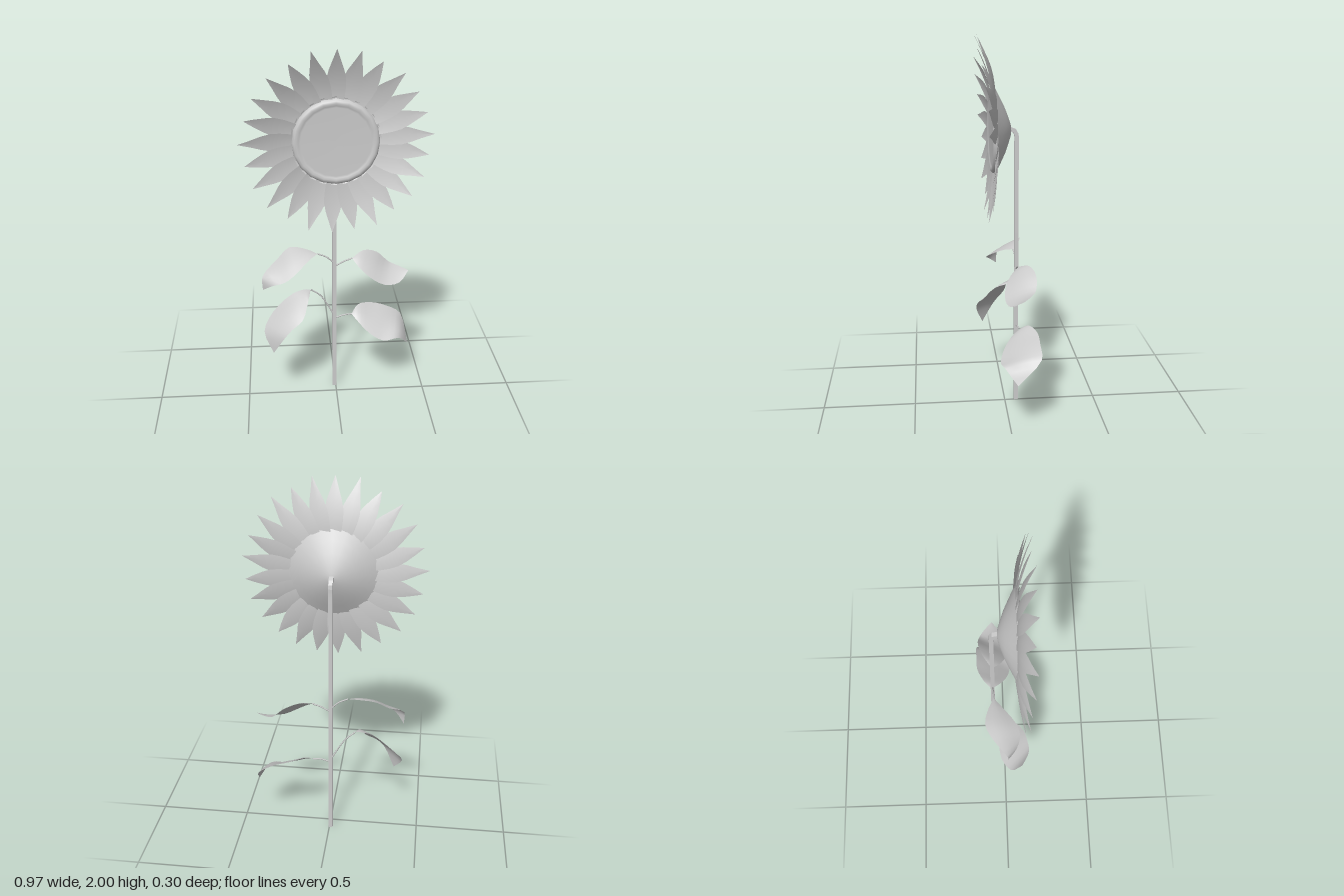
import * as THREE from 'three';

const thin = new THREE.MeshStandardMaterial({ color: 0xcccccc, side: THREE.DoubleSide });
const solid = new THREE.MeshStandardMaterial({ color: 0xcccccc });
const CX = -0.008, HEAD_Y = 1.523, STEM_Z = -0.062;
const v = (p) => new THREE.Vector3(...p);

function add(parent, name, geometry, material) {
  const mesh = new THREE.Mesh(geometry, material);
  mesh.name = name;
  parent.add(mesh);
  return mesh;
}

// Skin joining equal-length rows of points
function loft(rows) {
  const n = rows[0].length, index = [];
  for (let i = 0; i < rows.length - 1; i++) {
    for (let j = 0; j < n - 1; j++) {
      const a = i * n + j, b = a + 1, c = a + n, d = c + 1;
      index.push(a, c, b, b, c, d);
    }
  }
  const g = new THREE.BufferGeometry().setFromPoints(rows.flat());
  g.setIndex(index);
  g.computeVertexNormals();
  return g;
}

const tube = (points, radius, steps, sides) =>
  new THREE.TubeGeometry(new THREE.CatmullRomCurve3(points.map(v)), steps, radius, sides);

// Each leaf: where its stalk leaves the stem, a stalk bend, then base, tip and both blade edges
const LEAVES = [
  { name: 'upperRightLeaf', y: 0.79, bend: [-0.05, 0.83, -0.06], base: [-0.1, 0.853, -0.056], tip: [-0.4, 0.68, 0.013],
    back: [[-0.155, 0.868, -0.085], [-0.25, 0.873, -0.108], [-0.32, 0.82, -0.07], [-0.4, 0.757, 0.005]],
    front: [[-0.15, 0.835, -0.01], [-0.22, 0.79, 0.055], [-0.28, 0.755, 0.08], [-0.35, 0.725, 0.06]] },
  { name: 'lowerRightLeaf', y: 0.465, bend: [-0.085, 0.595, -0.058], base: [-0.14, 0.642, -0.045], tip: [-0.352, 0.333, 0.1],
    back: [[-0.175, 0.643, -0.045], [-0.24, 0.622, -0.038], [-0.35, 0.52, -0.025], [-0.4, 0.43, 0.03]],
    front: [[-0.158, 0.61, 0.04], [-0.19, 0.534, 0.105], [-0.25, 0.49, 0.13], [-0.294, 0.44, 0.138]] },
  { name: 'upperLeftLeaf', y: 0.77, bend: [0.045, 0.8, -0.063], base: [0.09, 0.816, -0.065], tip: [0.402, 0.735, -0.058],
    back: [[0.155, 0.84, -0.112], [0.235, 0.815, -0.138], [0.3, 0.757, -0.13], [0.345, 0.745, -0.105]],
    front: [[0.125, 0.78, -0.02], [0.18, 0.735, 0.012], [0.26, 0.69, 0.02], [0.345, 0.69, 0.0]] },
  { name: 'lowerLeftLeaf', y: 0.445, bend: [0.045, 0.463, -0.063], base: [0.09, 0.464, -0.07], tip: [0.407, 0.285, -0.03],
    back: [[0.13, 0.498, -0.115], [0.21, 0.488, -0.152], [0.3, 0.46, -0.155], [0.38, 0.41, -0.152]],
    front: [[0.125, 0.435, -0.025], [0.18, 0.39, 0.02], [0.26, 0.35, 0.045], [0.345, 0.355, 0.03]] },
];

function makeLeaf(spec) {
  const leaf = new THREE.Group();
  leaf.name = spec.name;
  add(leaf, 'leafStalk', tube([[CX, spec.y, STEM_Z], spec.bend, spec.base], 0.004, 10, 6), solid);
  const edge = (pts) => new THREE.CatmullRomCurve3([spec.base, ...pts, spec.tip].map(v));
  const back = edge(spec.back), front = edge(spec.front), rows = [];
  for (let i = 0; i <= 15; i++) {
    const a = back.getPoint(i / 15), b = front.getPoint(i / 15), row = [];
    for (let j = 0; j <= 4; j++) {
      const p = a.clone().lerp(b, j / 4);
      p.y += 0.01 * Math.sin(Math.PI * j / 4) * Math.sin(Math.PI * i / 15);
      row.push(p);
    }
    rows.push(row);
  }
  add(leaf, 'leafBlade', loft(rows), thin);
  return leaf;
}

// Pointed petal growing along +y, slightly twisted so neighbours overlap
function makePetal(tipR, tipZ, twist) {
  const radii = [0.19, 0.235, 0.28, 0.325, 0.37, 0.42, tipR];
  const halfWidths = [0.034, 0.042, 0.047, 0.047, 0.037, 0.02, 0.0005];
  return loft(radii.map((r, i) => {
    const t = (r - 0.19) / (tipR - 0.19), z = 0.055 + (tipZ - 0.055) * Math.pow(t, 1.6);
    const w = halfWidths[i];
    return [-1, 0, 1].map((s) => new THREE.Vector3(s * w, r, z + s * w * twist - (s === 0 ? w * 0.1 : 0)));
  }));
}

export function createModel() {
  const model = new THREE.Group();
  model.name = 'sunflower';

  // Square stem, bending forward into the head
  const path = new THREE.CurvePath();
  const neck = v([CX, 1.46, STEM_Z]);
  path.add(new THREE.LineCurve3(v([CX, 0, STEM_Z]), neck));
  path.add(new THREE.QuadraticBezierCurve3(neck, v([CX, 1.54, STEM_Z - 0.008]), v([CX, HEAD_Y, -0.015])));
  const h = 0.011;
  const section = new THREE.Shape([[-h, -h], [h, -h], [h, h], [-h, h]].map((p) => new THREE.Vector2(...p)));
  add(model, 'stem', new THREE.ExtrudeGeometry(section, { steps: 80, extrudePath: path }), thin);

  for (const spec of LEAVES) model.add(makeLeaf(spec));

  const head = new THREE.Group();
  head.name = 'flowerHead';
  head.position.set(CX, HEAD_Y, 0);
  model.add(head);

  // Domed back, rounded rim and flat seed face: (radius, depth)
  const lathe = (name, pts) => {
    const g = new THREE.LatheGeometry(pts.map((p) => new THREE.Vector2(...p)), 20);
    g.rotateX(Math.PI / 2);
    return add(head, name, g, thin);
  };
  lathe('headBack', [[0, -0.035], [0.03, -0.031], [0.075, -0.016], [0.12, 0.001], [0.175, 0.028], [0.23, 0.056]]);
  lathe('seedDisc', [[0.222, 0.055], [0.22, 0.065], [0.211, 0.073], [0.2, 0.075], [0.188, 0.072], [0.178, 0.068], [0, 0.067]]);

  // Ring of petals, spaced a little wider on one side, the upper ones curling further forward
  const COUNT = 25;
  for (let i = 0; i < COUNT; i++) {
    const wobble = Math.sin(i * 2.4);
    const angle = THREE.MathUtils.degToRad(i <= 13 ? i * 14.05 : 182.65 + (i - 13) * 14.78);
    const tipZ = 0.093 + 0.045 * Math.sqrt(Math.max(0, Math.cos(angle))) + 0.008 * wobble;
    const petal = add(head, 'petal', makePetal(0.477 + 0.009 * wobble, tipZ, 0.13 + 0.06 * Math.sin(i * 1.7)), thin);
    petal.rotation.z = -angle;
  }
  return model;
}
